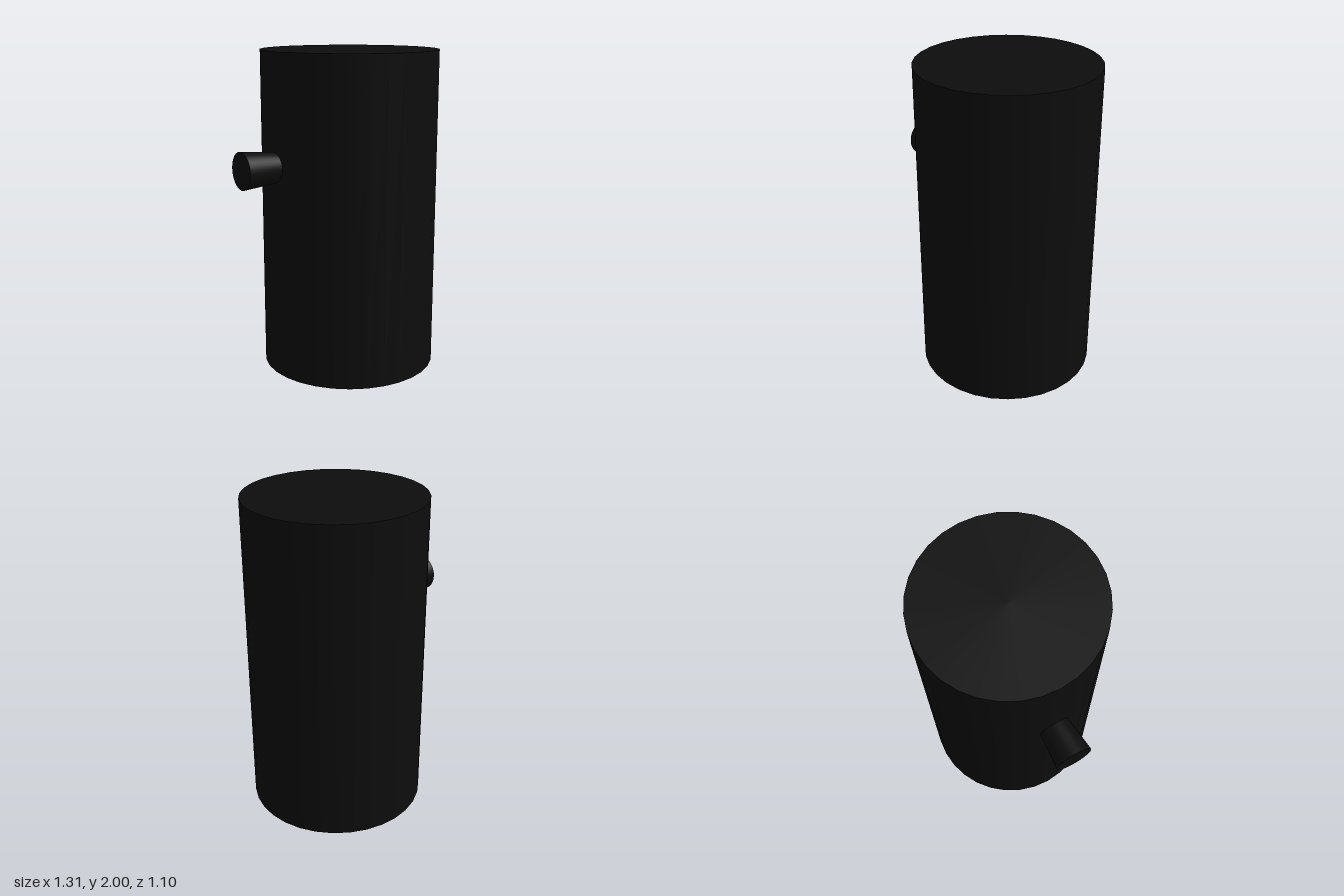
import * as THREE from 'three';

export function createModel() {
  const model = new THREE.Group();
  const black = new THREE.MeshStandardMaterial({ color: 0x0d0d0d });

  // Upright cylindrical body
  const body = new THREE.Mesh(new THREE.CylinderGeometry(0.55, 0.55, 2, 32), black);
  body.name = 'body';
  body.position.set(0.107, 1, 0);
  model.add(body);

  // Side knob, flaring outwards and rooted inside the body wall
  const outerX = -0.657, innerX = -0.4;
  const knob = new THREE.Mesh(
    new THREE.CylinderGeometry(0.115, 0.09, innerX - outerX, 32), black);
  knob.name = 'knob';
  knob.rotation.z = Math.PI / 2;
  knob.position.set((outerX + innerX) / 2, 1.318, 0);
  model.add(knob);

  return model;
}
